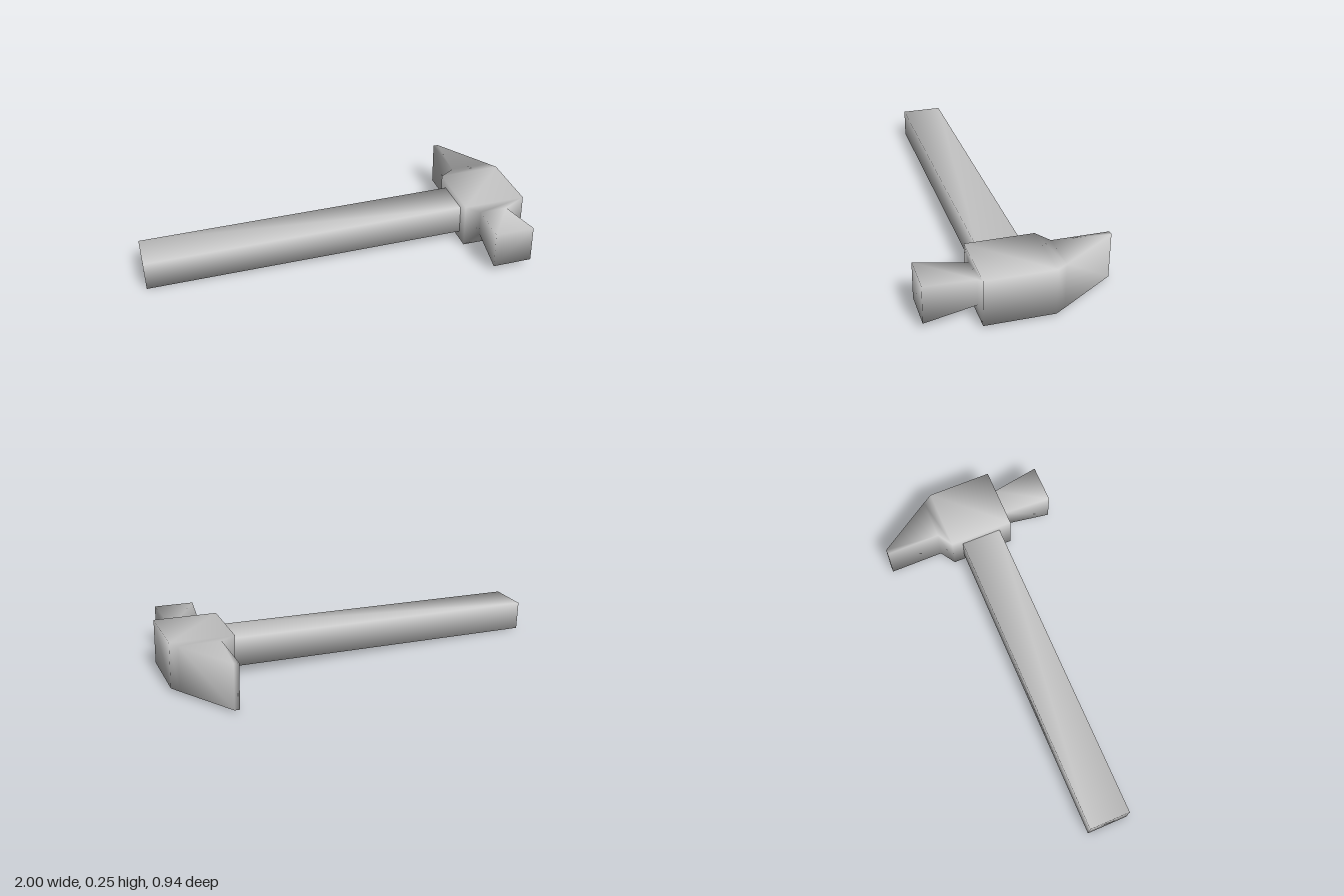
import * as THREE from 'three';

// Loft of rectangles [z, x0, x1, y0, y1] along +z, closed at both ends.
// Corners are shared, so the shading rolls softly over the edges.
function loft(sections) {
  const positions = [];
  const index = [];
  for (const [z, x0, x1, y0, y1] of sections) {
    positions.push(x0, y0, z, x1, y0, z, x1, y1, z, x0, y1, z);
  }
  for (let i = 0; i < sections.length - 1; i++) {
    for (let j = 0; j < 4; j++) {
      const a = i * 4 + j;
      const b = i * 4 + ((j + 1) % 4);
      index.push(a, b, b + 4, a, b + 4, a + 4);
    }
  }
  const e = (sections.length - 1) * 4;
  index.push(0, 2, 1, 0, 3, 2, e, e + 1, e + 2, e, e + 2, e + 3);
  const geometry = new THREE.BufferGeometry();
  geometry.setAttribute('position', new THREE.Float32BufferAttribute(positions, 3));
  geometry.setIndex(index);
  return geometry;
}

export function createModel() {
  const model = new THREE.Group();
  model.name = 'hammer';
  const material = new THREE.MeshStandardMaterial({ color: 0xcccccc });

  function addPart(name, geometry) {
    geometry.computeVertexNormals();
    const mesh = new THREE.Mesh(geometry, material);
    mesh.name = name;
    model.add(mesh);
  }

  // Head: wedge-shaped peen, square body, waisted neck and flared striking face
  const bottom = -0.013;
  const top = 0.22;
  addPart('head', loft([
    [-0.47, 0.757, 0.783, bottom, top],
    [-0.182, 0.757, 0.967, bottom, top],
    [-0.13, 0.676, 0.999, bottom, top],
    [0.21, 0.676, 0.999, bottom, top],
    [0.21, 0.763, 0.908, 0.037, 0.172],
    [0.467, 0.735, 0.938, 0.008, 0.2],
  ]));

  // Handle: a plain bar laid along x, its end buried in the head
  addPart('handle', loft([
    [-0.996, -0.145, 0.07, 0.03, 0.18],
    [0.7, -0.145, 0.07, 0.03, 0.18],
  ]).rotateY(Math.PI / 2));

  // The hammer lies tilted, resting on the handle end
  model.rotation.z = 0.03;
  const root = new THREE.Group();
  root.add(model);
  return root;
}
